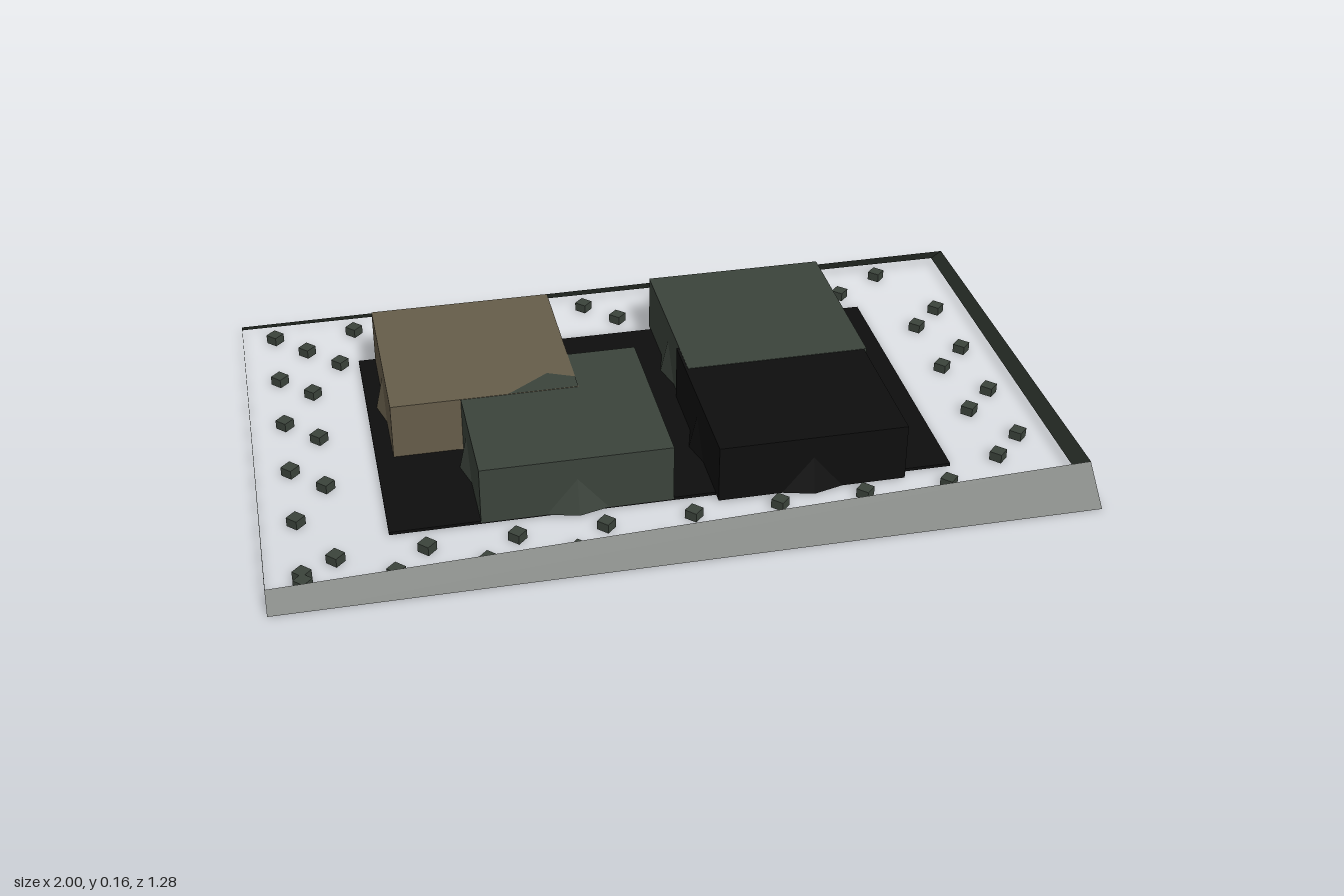
import * as THREE from 'three';

const mat = (name, color, side = THREE.FrontSide) => {
  const m = new THREE.MeshStandardMaterial({ color, side, flatShading: true });
  m.name = name;
  return m;
};

export function createModel() {
  const model = new THREE.Group();
  const green = mat('dark green', 0x3b433b);
  const greenOpen = mat('dark green wall', 0x3b433b, THREE.DoubleSide);
  const tan = mat('tan', 0x665d4a);
  const black = mat('black', 0x0e0e0e);

  const add = (name, geometry, material, x = 0, y = 0, z = 0, parent = model) => {
    const mesh = new THREE.Mesh(geometry, material);
    mesh.name = name;
    mesh.position.set(x, y, z);
    parent.add(mesh);
    return mesh;
  };

  // Open rim: base corner and leaning top corner, anticlockwise from above
  const corners = [
    { base: [-1, 0, 0.64], top: [-1, 0.04, 0.592] },
    { base: [1, 0, 0.64], top: [1, 0.077, 0.547] },
    { base: [1, 0, -0.64], top: [1, 0.063, -0.567] },
    { base: [-1, 0, -0.64], top: [-1, 0.025, -0.613] },
  ];
  const wallNames = ['frontWall', 'leftWall', 'backWall', 'rightWall'];
  corners.forEach((a, i) => {
    const b = corners[(i + 1) % 4];
    const g = new THREE.BufferGeometry();
    g.setAttribute('position', new THREE.Float32BufferAttribute(
      [...a.base, ...b.base, ...b.top, ...a.top], 3));
    g.setIndex([0, 1, 2, 0, 2, 3]);
    g.computeVertexNormals();
    add(wallNames[i], g, greenOpen);
  });

  // Floor plate under the blocks
  add('floorPlate', new THREE.BoxGeometry(1.4, 0.008, 0.79), black, 0, 0.004, -0.005);

  // Blocks, each with a twelve-sided drum whose corners poke through the sides
  const block = (name, material, x, z, top) => {
    const group = new THREE.Group();
    group.name = name;
    group.position.set(x, 0, z);
    model.add(group);
    const bottom = 0.004;
    add('block', new THREE.BoxGeometry(0.473, top - bottom, 0.473), material,
      0, (top + bottom) / 2, 0, group);
    add('drum', new THREE.CylinderGeometry(0.225, 0.257, 0.146, 12), material,
      0, 0.077, 0, group);
  };
  block('tanBlock', tan, -0.419, -0.16, 0.156);
  block('frontGreenBlock', green, -0.243, 0.155, 0.155);
  block('backGreenBlock', green, 0.342, -0.185, 0.156);
  block('blackBlock', black, 0.335, 0.184, 0.155);

  // Green corner lapping over the tan block
  const lap = new THREE.Shape([[-0.36, -0.077], [-0.183, -0.077], [-0.183, -0.03], [-0.25, 0]]
    .map(([x, y]) => new THREE.Vector2(x, y)));
  add('greenLap', new THREE.ShapeGeometry(lap), green, 0, 0.157, 0).rotation.x = -Math.PI / 2;

  // Small diamond studs in two staggered rows around the plate
  const studs = new THREE.Group();
  studs.name = 'studs';
  model.add(studs);
  const studGeometry = new THREE.CylinderGeometry(0.023, 0.023, 0.024, 4);
  const stud = (x, z) => add('stud', studGeometry, green, x, 0.012, z, studs);
  const step = 0.2145;
  for (let i = 0; i < 9; i++) {
    for (const z of [-0.558, 0.55]) stud(-0.913 + i * step, z);
    if (i < 8) for (const z of [-0.475, 0.468]) stud(-0.832 + i * step, z);
  }
  for (let i = 0; i < 5; i++) {
    for (const x of [-0.913, 0.91]) stud(x, -0.341 + i * step);
    if (i < 4) stud(0.828, -0.26 + i * step);
    if (i < 3) stud(-0.832, -0.26 + i * step);
  }
  stud(-0.75, -0.393);

  return model;
}
